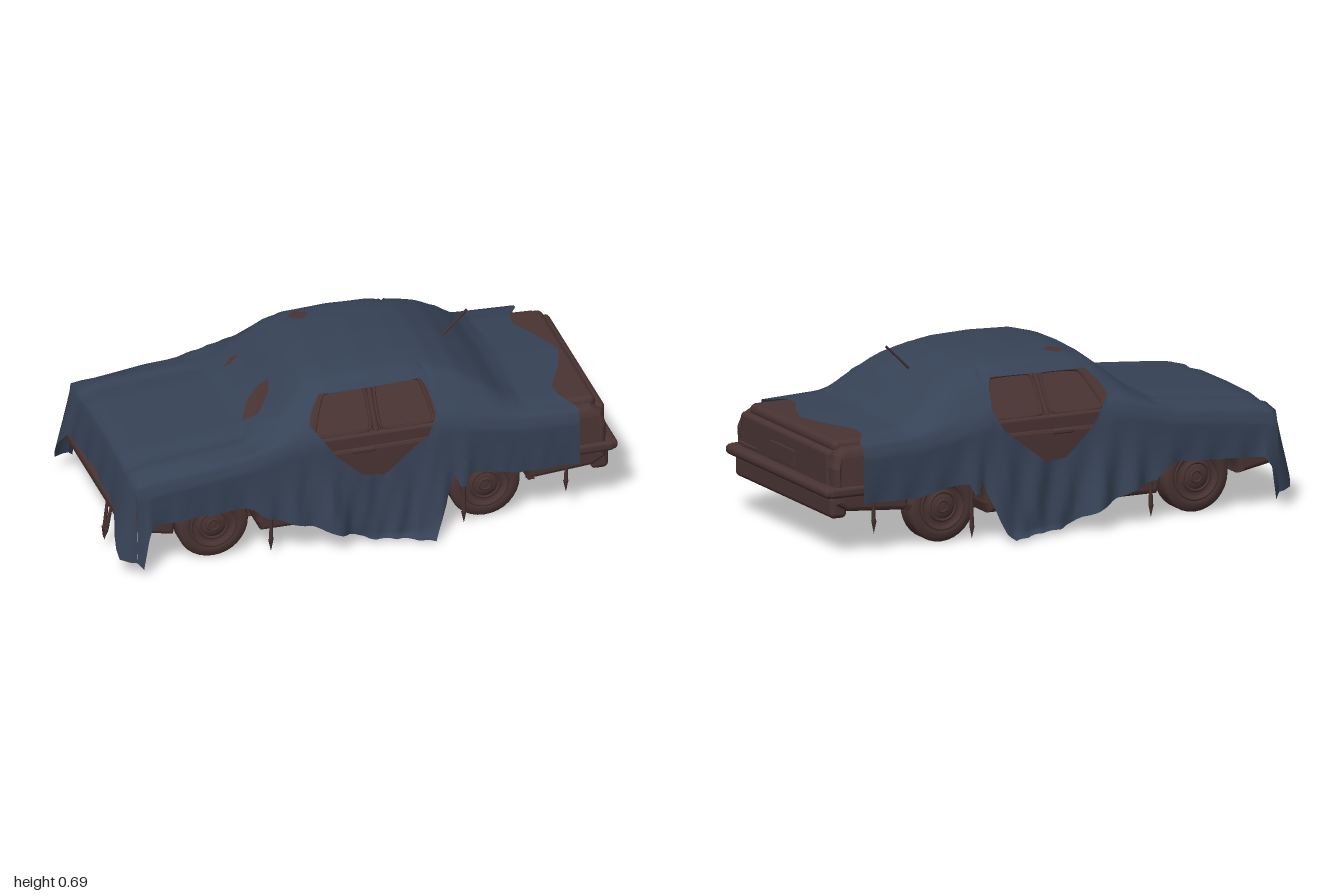
import * as THREE from 'three';
import { mergeGeometries, mergeVertices } from 'three/addons/utils/BufferGeometryUtils.js';
import { RoundedBoxGeometry } from 'three/addons/geometries/RoundedBoxGeometry.js';

const rust = new THREE.MeshStandardMaterial({ color: 0x493432, side: THREE.DoubleSide });
rust.name = 'rusty brown';
const cloth = new THREE.MeshStandardMaterial({ color: 0x364256, side: THREE.DoubleSide });
cloth.name = 'slate blue tarp';

// piecewise linear lookup in a table of [key, value]
function lerpTable(t, x) {
  if (x <= t[0][0]) return t[0][1];
  for (let i = 1; i < t.length; i++) {
    if (x <= t[i][0]) {
      const k = (x - t[i - 1][0]) / (t[i][0] - t[i - 1][0]);
      return t[i - 1][1] + k * (t[i][1] - t[i - 1][1]);
    }
  }
  return t[t.length - 1][1];
}

// tarp shape along the car: crown height, roof edge, shoulder, hem, flare, ground skirt, opening
const CROWN = [[-.92, .4], [-.85, .42], [-.7, .435], [-.44, .458], [-.35, .51], [-.25, .598], [-.2, .637], [-.12, .658],
  [.05, .665], [.2, .66], [.3, .645], [.4, .61], [.5, .55], [.58, .488], [.64, .463], [.84, .452]];
const EDGE = [[-.92, .38], [-.5, .37], [-.2, .285], [.3, .285], [.6, .36], [.85, .37]];
const SHOULDER = [[-.92, .375], [-.5, .425], [-.3, .475], [-.15, .49], [.3, .49], [.6, .435], [.85, .425]];
const HEM = [[-.92, .06], [-.9, .04], [-.88, .17], [-.86, .205], [-.47, .225], [-.4, .17], [-.3, .14], [-.13, .08], [0, .022],
  [.25, .014], [.27, .05], [.31, .16], [.34, .24], [.37, .17], [.4, .235], [.5, .225], [.6, .2], [.84, .2]];
const FLARE = [[-.92, .455], [-.89, .48], [-.85, .44], [-.5, .438], [-.4, .46], [-.36, .45], [-.3, .475], [-.24, .46], [-.15, .5], [-.06, .46],
  [.04, .445], [.1, .48], [.16, .46], [.24, .5], [.29, .475], [.33, .445], [.37, .475], [.41, .44], [.84, .433]];
const SKIRT = [[-.04, 0], [.1, .015], [.24, .045], [.27, 0]];
const OPEN_TOP = [[-.92, .36], [-.45, .38], [-.22, .51], [-.2, .555], [-.16, .6], [.24, .605], [.26, .58], [.28, .5], [.6, .4], [.84, .39]];
const OPEN_BOTTOM = [[-.92, .36], [-.45, .38], [-.22, .51], [-.2, .49], [-.12, .38], [-.02, .29], [.06, .278], [.24, .42], [.28, .5], [.6, .4], [.84, .39]];
const TAIL = [[0, .89], [.12, .85], [.25, .785], [.32, .79], [.4, .84]];

// half cross-section of the tarp from the crown to the hem, as [z, y]
function section(x) {
  const T = lerpTable(CROWN, x), w = lerpTable(EDGE, x), S = lerpTable(SHOULDER, x);
  const hem = lerpTable(HEM, x), flare = lerpTable(FLARE, x);
  const w2 = .425 - .015 * Math.exp(-x * x * 8), hood = x < -.45 ? .01 : 0;
  const roof = Math.min(1, Math.max(0, (T - .46) / .18)), E = T - .018 - .007 * roof;
  const door = Math.exp(-(((x - .02) / .28) ** 4)), base = .44 - .01 * door;
  const pts = [[0, T], [w * .55, T - .003 - .002 * roof], [w * .78, T - .006 - hood - .005 * roof], [w * .9, T - .009 - .007 * roof], [w, E],
    [w + .4 * (w2 - w), E - (.4 - .08 * roof) * (E - S)], [w2, S], [base, S - .05]];
  for (let k = 1; k <= 8; k++) {
    const t = k / 8, y = S - .05 + (hem - S + .05) * t;
    const folds = t ** 1.3 * (.004 + .009 * door) * (Math.sin(x * 44 + y * 12) + .4 * Math.sin(x * 83 - y * 20));
    pts.push([base + (flare - base) * t ** 1.4 + folds, y]);
  }
  pts.push([pts[pts.length - 1][0] + lerpTable(SKIRT, x), hem - .002]);
  return pts;
}

function cut(pts, yCut) {
  const i = pts.findIndex((p) => p[1] <= yCut), a = pts[i - 1], b = pts[i];
  const k = (yCut - a[1]) / (b[1] - a[1]), m = [a[0] + k * (b[0] - a[0]), yCut];
  return [[...pts.slice(0, i), m], [m, ...pts.slice(i)]];
}

function resample(pts, n) {
  const len = [0];
  for (let i = 1; i < pts.length; i++) len.push(len[i - 1] + Math.hypot(pts[i][0] - pts[i - 1][0], pts[i][1] - pts[i - 1][1]));
  const zs = pts.map((p, i) => [len[i], p[0]]), ys = pts.map((p, i) => [len[i], p[1]]);
  return Array.from({ length: n + 1 }, (_, i) => {
    const s = len[len.length - 1] * i / n;
    return [lerpTable(zs, s), lerpTable(ys, s)];
  });
}

function grid(rows) {
  const n = rows[0].length, index = [];
  for (let i = 0; i < rows.length - 1; i++) {
    for (let j = 0; j < n - 1; j++) {
      const a = i * n + j, c = a + n;
      index.push(a, a + 1, c, a + 1, c + 1, c);
    }
  }
  const g = new THREE.BufferGeometry();
  g.setAttribute('position', new THREE.Float32BufferAttribute(rows.flat(2), 3));
  g.setIndex(index);
  return g;
}

function tarpGeometry() {
  const top = [], left = [], right = [];
  const place = (x, s) => ([z, y]) => [x > .6 ? .6 + (x - .6) * (lerpTable(TAIL, z) - .6) / .24 : x, y, s * z];
  for (let i = 0; i <= 88; i++) {
    const x = -.92 + i * .02, pts = section(x);
    const upper = resample(cut(pts, lerpTable(OPEN_TOP, x))[0], 24);
    const lower = resample(cut(pts, lerpTable(OPEN_BOTTOM, x))[1], 16);
    top.push([...upper.slice(1).reverse().map(place(x, -1)), ...upper.map(place(x, 1))]);
    left.push(lower.map(place(x, 1)));
    right.push(lower.map(place(x, -1)).reverse());
  }
  // flap hanging over the nose, long at the corners and joined to the sides
  const flap = [], side = section(-.92).slice(6).reverse().map(([z, y]) => [y, z]);
  const zMax = -top[0][0][2];
  for (let i = 10; i >= 0; i--) {
    const t = i / 10;
    flap.push(top[0].map(([x, y, z]) => {
      const a = Math.abs(z) / zMax, edge = a ** 10;
      const newY = y + (lerpTable([[0, .25], [.45, .23], [.73, .22], [.85, .15], [.93, .07], [1, .06]], a) - y) * t;
      const out = lerpTable([[0, .04], [.7, .045], [.88, .075], [.96, .06], [1, 0]], a);
      const newZ = a * zMax + edge * (lerpTable(side, newY) - lerpTable(side, y)) * t;
      return [x - out * t ** .8 + .004 * t * (1 - edge) * Math.sin(z * 37), newY, Math.sign(z) * newZ];
    }));
  }
  const g = mergeVertices(mergeGeometries([top, left, right, flap].map(grid)), 1e-4);
  g.computeVertexNormals();
  return g;
}

// a tear in the tarp: a thin patch following the upper surface
function tearGeometry(outline) {
  const height = (x, z) => lerpTable(section(x).slice(0, 7), Math.abs(z)) + .006;
  const cx = outline.reduce((s, p) => s + p[0], 0) / outline.length;
  const cz = outline.reduce((s, p) => s + p[1], 0) / outline.length;
  const ring = (k) => [...outline, outline[0]].map(([x, z]) => {
    const px = cx + (x - cx) * k, pz = cz + (z - cz) * k;
    return [px, height(px, pz), pz];
  });
  const g = grid([1, .7, .35, 0].map(ring));
  g.computeVertexNormals();
  return g;
}

export function createModel() {
  const car = new THREE.Group();
  car.name = 'coveredCar';
  const add = (name, geo, x = 0, y = 0, z = 0, mat = rust) => {
    const m = new THREE.Mesh(geo, mat);
    m.name = name;
    m.position.set(x, y, z);
    car.add(m);
    return m;
  };
  const rbox = (w, h, d, r) => new RoundedBoxGeometry(w, h, d, 3, r);
  const tube = (pts, r, closed = false) => new THREE.TubeGeometry(
    new THREE.CatmullRomCurve3(pts.map((p) => new THREE.Vector3(...p)), closed, 'catmullrom', .15), 32, r, 6, closed);

  // lower body with wheel arches, leaning inward at the top of the tail
  const s = new THREE.Shape();
  s.moveTo(-.92, .17);
  [[-.92, .335], [-.88, .368], [-.45, .405], [.6, .415], [.9, .415], [.94, .39], [.955, .34], [.95, .2], [.9, .17], [.645, .15]].forEach((p) => s.lineTo(...p));
  s.absarc(.48, .14, .165, 0, Math.PI, false);
  s.lineTo(.3, .1);
  s.lineTo(-.42, .1);
  s.lineTo(-.435, .14);
  s.absarc(-.6, .14, .165, 0, Math.PI, false);
  const body = new THREE.ExtrudeGeometry(s, { depth: .79, bevelThickness: .03, bevelSize: .02, bevelOffset: -.02, bevelSegments: 3, curveSegments: 20 });
  body.translate(0, 0, -.395);
  const bp = body.attributes.position;
  for (let i = 0; i < bp.count; i++) {
    if (bp.getX(i) > .85) bp.setZ(i, bp.getZ(i) * (1 - .6 * Math.max(0, bp.getY(i) - .32)));
  }
  body.computeVertexNormals();
  add('body', body);
  const floor = new THREE.Shape([[-.9, .16], [-.8, .15], [-.68, .095], [.56, .095], [.66, .165], [.92, .165], [.92, .25], [-.9, .25]].map((p) => new THREE.Vector2(...p)));
  add('floor', new THREE.ExtrudeGeometry(floor, { depth: .57, bevelEnabled: false }), 0, 0, -.285);
  add('doorBelt', rbox(.84, .08, .835, .012), .09, .415, 0);
  add('trunkLid', rbox(.32, .05, .72, .024), .77, .411, 0);

  // tapered cabin
  const cabin = new THREE.BoxGeometry(1, 1, 1);
  const p = cabin.attributes.position;
  for (let i = 0; i < p.count; i++) {
    const up = p.getY(i) > 0, front = p.getX(i) < 0;
    p.setXYZ(i, up ? (front ? -.17 : .32) : (front ? -.34 : .52), up ? .615 : .45, Math.sign(p.getZ(i)) * (up ? .28 : .4));
  }
  cabin.computeVertexNormals();
  add('cabin', cabin);

  // window frames, door seams and handles on both sides
  for (const d of [1, -1]) {
    const on = (x, y) => [x, y, d * (.402 - .12 * (y - .45) / .165)];
    add('frontWindowFrame', tube([on(-.2, .46), on(-.14, .59), on(.02, .595), on(.02, .46)], .007, true));
    add('rearWindowFrame', tube([on(.065, .46), on(.065, .595), on(.24, .595), on(.27, .46)], .007, true));
    add('doorPillar', tube([on(.042, .45), on(.042, .61)], .012));
    add('doorSeam', new THREE.BoxGeometry(.006, .28, .006), .045, .25, d * .424);
    add('doorHandle', rbox(.09, .018, .016, .006), -.015, .39, d * .422);
  }

  // tail panel, plate and bumpers
  add('tailPanel', rbox(.04, .16, .74, .018), .942, .325, 0);
  add('plateRecess', rbox(.012, .07, .2, .004), .962, .315, 0);
  add('tailTrim', rbox(.012, .012, .15, .004), .962, .285, .3);
  add('rearBumper', rbox(.06, .042, .86, .02), .968, .25, 0);
  add('rearValance', rbox(.07, .09, .82, .02), .93, .19, 0);
  add('frontBumper', rbox(.045, .045, .8, .018), -.942, .2, 0);
  add('grille', rbox(.02, .09, .5, .006), -.922, .275, 0);
  for (const d of [1, -1]) {
    add('bumperEnd', rbox(.16, .04, .03, .014), .9, .25, d * .42);
    const lamp = add('headlight', new THREE.CylinderGeometry(.045, .045, .02, 20), -.922, .275, d * .32);
    lamp.rotation.z = Math.PI / 2;
  }

  // wheels: tyre and stepped hub in one turned profile, plus rings
  const profile = [[.02, -.05], [.1, -.05], [.132, -.045], [.141, -.03], [.141, .03], [.132, .045], [.105, .05], [.09, .045],
    [.085, .03], [.06, .028], [.052, .042], [.03, .046], [.001, .048]].map((q) => new THREE.Vector2(...q));
  for (const x of [-.6, .48]) {
    for (const d of [1, -1]) {
      const wheel = new THREE.Group();
      wheel.name = x < 0 ? 'frontWheel' : 'rearWheel';
      const tyre = new THREE.Mesh(new THREE.LatheGeometry(profile, 32), rust);
      tyre.name = 'tyreAndHub';
      tyre.rotation.x = Math.PI / 2;
      wheel.add(tyre);
      for (const r of [.09, .055, .022]) {
        const ring = new THREE.Mesh(new THREE.TorusGeometry(r, .006, 6, 28), rust);
        ring.name = 'hubRing';
        ring.position.z = .046;
        wheel.add(ring);
      }
      wheel.position.set(x, .142, d * .342);
      if (d < 0) wheel.rotation.y = Math.PI;
      car.add(wheel);
    }
  }

  // bent aerial on the rear screen
  add('aerial', tube([[.42, .585, 0], [.47, .635, 0], [.525, .688, 0]], .005));

  // tarp with tears
  add('tarp', tarpGeometry(), 0, 0, 0, cloth);
  [[[-.43, .2], [-.38, .1], [-.33, .07], [-.29, .08], [-.31, .15], [-.37, .22]],
    [[-.13, -.2], [-.09, -.24], [-.04, -.2], [-.08, -.16]],
    [[-.39, -.18], [-.35, -.21], [-.33, -.19], [-.36, -.17]]].forEach((o) => add('tear', tearGeometry(o)));

  // frayed tie straps hanging from the hem
  const strap = (x, y, z, h, tilt) => {
    const m = add('strap', new THREE.CylinderGeometry(.006, .009, h, 5), x, y - h / 2, z);
    const tip = new THREE.Mesh(new THREE.ConeGeometry(.011, .05, 5), rust);
    tip.name = 'strapTip';
    tip.position.y = -h / 2 - .02;
    tip.rotation.x = Math.PI;
    m.add(tip);
    m.rotation.z = tilt;
  };
  for (const d of [1, -1]) {
    strap(-.385, .2, d * .43, .14, 0);
    strap(.38, .24, d * .435, .18, 0);
    strap(.79, .22, d * .42, .1, 0);
  }
  strap(-.965, .2, .22, .11, -.2);
  strap(-.965, .2, .18, .12, -.1);
  return car;
}
